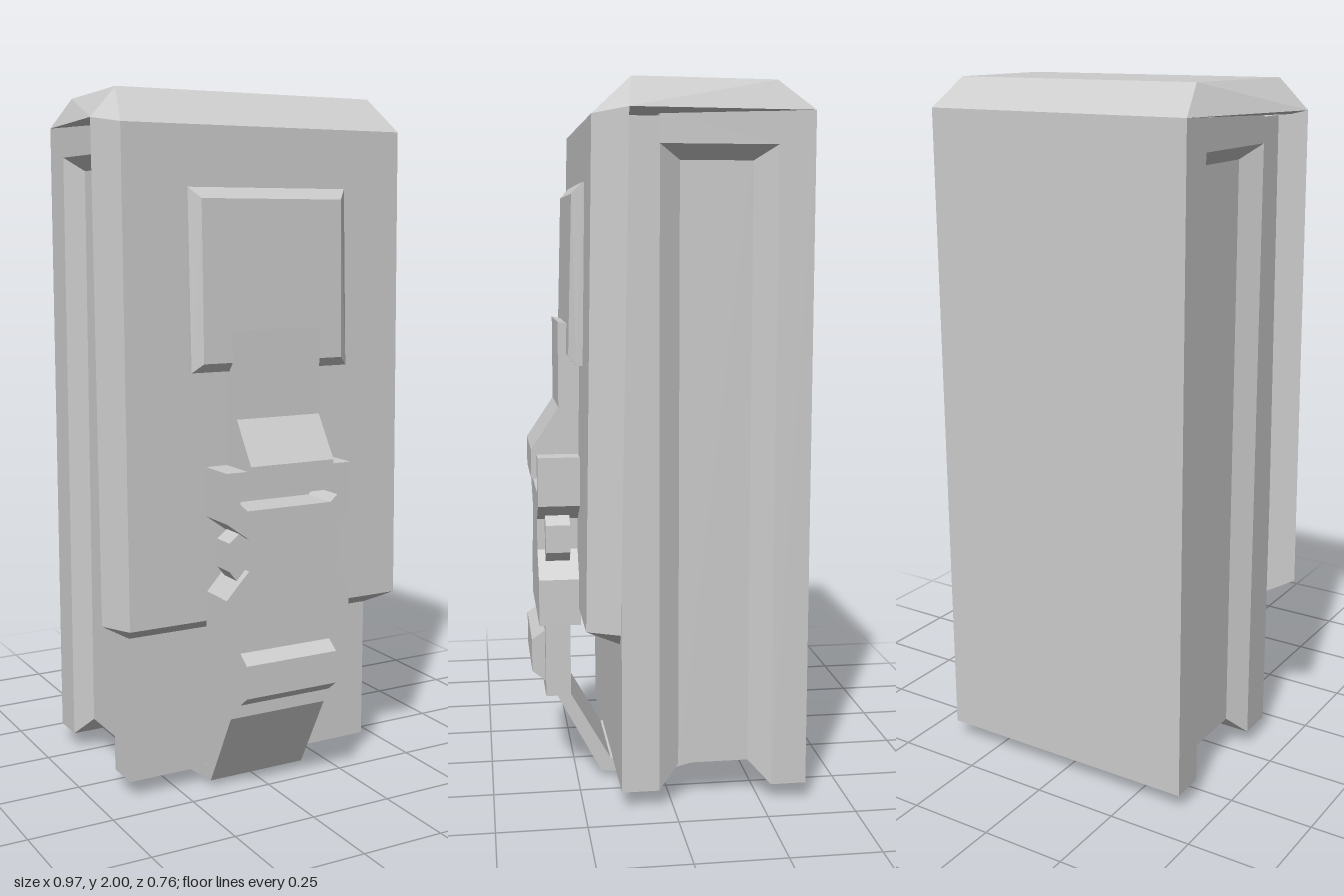
import * as THREE from 'three';
import { ConvexGeometry } from 'three/addons/geometries/ConvexGeometry.js';

export function createModel() {
  const model = new THREE.Group();
  const material = new THREE.MeshStandardMaterial({ color: 0xcccccc, flatShading: true });

  const add = (name, geometry, parent = model) => {
    const mesh = new THREE.Mesh(geometry, material);
    mesh.name = name;
    parent.add(mesh);
    return mesh;
  };
  const group = (name) => {
    const g = new THREE.Group();
    g.name = name;
    model.add(g);
    return g;
  };
  // Solid hull of [x, y, z] points mirrored across x
  const hull = (points) => new ConvexGeometry(points.flatMap(([x, y, z]) =>
    [new THREE.Vector3(x, y, z), new THREE.Vector3(-x, y, z)]));
  // Box from half width and y / z ranges
  const box = (x, y0, y1, z0, z1) =>
    new THREE.BoxGeometry(2 * x, y1 - y0, z1 - z0).translate(0, (y0 + y1) / 2, (z0 + z1) / 2);
  const shapeOf = (points) => new THREE.Shape(points.map(([x, y]) => new THREE.Vector2(x, y)));
  // Side profile of [z, y] points, extruded across the width
  const sideProfile = (points, halfWidth) =>
    new THREE.ExtrudeGeometry(shapeOf(points), { depth: 2 * halfWidth, bevelEnabled: false })
      .translate(0, 0, -halfWidth).rotateY(-Math.PI / 2);
  // Front outline of [x, y] points, extruded between two z values
  const frontProfile = (points, z0, z1) =>
    new THREE.ExtrudeGeometry(shapeOf(points), { depth: z1 - z0, bevelEnabled: false })
      .translate(0, 0, z0);

  // Body: two slabs and a recessed core, leaving a channel along sides and bottom
  const body = group('body');
  add('frontSlab', box(0.4, 0.05, 1.9, 0.04, 0.145), body);
  add('backSlab', box(0.4, 0.05, 1.92, -0.38, -0.28), body);
  add('core', box(0.357, 0.11, 1.85, -0.22, -0.02), body);
  for (const [name, outer, inner] of [['frontBevel', 0.04, -0.02], ['backBevel', -0.28, -0.22]]) {
    add(name, hull([
      [0.4, 0.05, outer], [0.4, 1.85, outer],
      [0.357, 0.11, inner], [0.357, 1.85, inner],
    ]), body);
  }
  add('channelTop', hull([
    [0.4, 1.915, 0.04], [0.4, 1.915, -0.28],
    [0.4, 1.83, 0.04], [0.4, 1.83, -0.28],
    [0.357, 1.79, -0.02], [0.357, 1.79, -0.22],
  ]), body);

  // Lid and the front flap hanging from it
  const flap = group('flap');
  add('lid', hull([
    [0.4, 1.92, -0.38], [0.485, 1.915, 0.13], [0.44, 1.9, 0.223],
    [0.37, 2, -0.28], [0.405, 2, 0.115],
  ]), flap);
  add('frontFlap', hull([
    [0.485, 1.915, 0.13], [0.44, 1.9, 0.223],
    [0.485, 0.53, 0.157], [0.44, 0.53, 0.246],
    [0.4, 0.48, 0.15], [0.4, 1.9, 0.125],
  ]), flap);

  // Raised patch with bevelled rim
  add('patch', hull([
    [0.25, 1.735, 0.215], [0.25, 1.235, 0.225],
    [0.25, 1.735, 0.232], [0.25, 1.235, 0.252],
    [0.222, 1.705, 0.26], [0.222, 1.26, 0.272],
  ]));

  // Upper strap, running over the buckle
  add('upperStrap', sideProfile([
    [0.23, 1.33], [0.27, 1.345], [0.295, 1.35], [0.295, 1.105],
    [0.375, 0.985], [0.375, 0.9], [0.24, 0.9],
  ], 0.133));

  // Buckle socket: waisted outline with a strap slot open at the top
  const buckle = group('buckle');
  const half = [
    [0.2, 0.48], [0.2, 0.615], [0.13, 0.69], [0.13, 0.78], [0.2, 0.83], [0.2, 0.97],
    [0.135, 0.97], [0.135, 0.91], [0.157, 0.91], [0.157, 0.88], [0.135, 0.86],
  ];
  const mirrored = half.map(([x, y]) => [-x, y]).reverse();
  add('buckleSocket', frontProfile([...half, ...mirrored], 0.24, 0.36), buckle);

  // Squeeze prongs at the waist
  for (const side of [1, -1]) {
    const points = [[0.11, 0.64], [0.135, 0.635], [0.18, 0.69], [0.18, 0.77], [0.135, 0.805], [0.11, 0.8]];
    add(side > 0 ? 'leftProng' : 'rightProng',
      frontProfile(points.map(([x, y]) => [side * x, y]), 0.268, 0.338), buckle);
  }

  // Strap adjuster with a bevelled bar
  add('adjuster', box(0.185, 0.265, 0.48, 0.27, 0.342), buckle);
  add('adjusterBar', sideProfile([
    [0.33, 0.3], [0.342, 0.3], [0.38, 0.33], [0.38, 0.425], [0.342, 0.452], [0.33, 0.452],
  ], 0.147), buckle);

  // Lower strap, wrapping under the body into the bottom channel
  add('lowerStrap', sideProfile([
    [0.31, 0.28], [0.31, 0.26], [0.18, 0.018], [0.02, 0], [-0.27, 0.068],
    [-0.215, 0.108], [0.02, 0.055], [0.152, 0.055], [0.272, 0.265], [0.272, 0.28],
  ], 0.156));

  return model;
}
